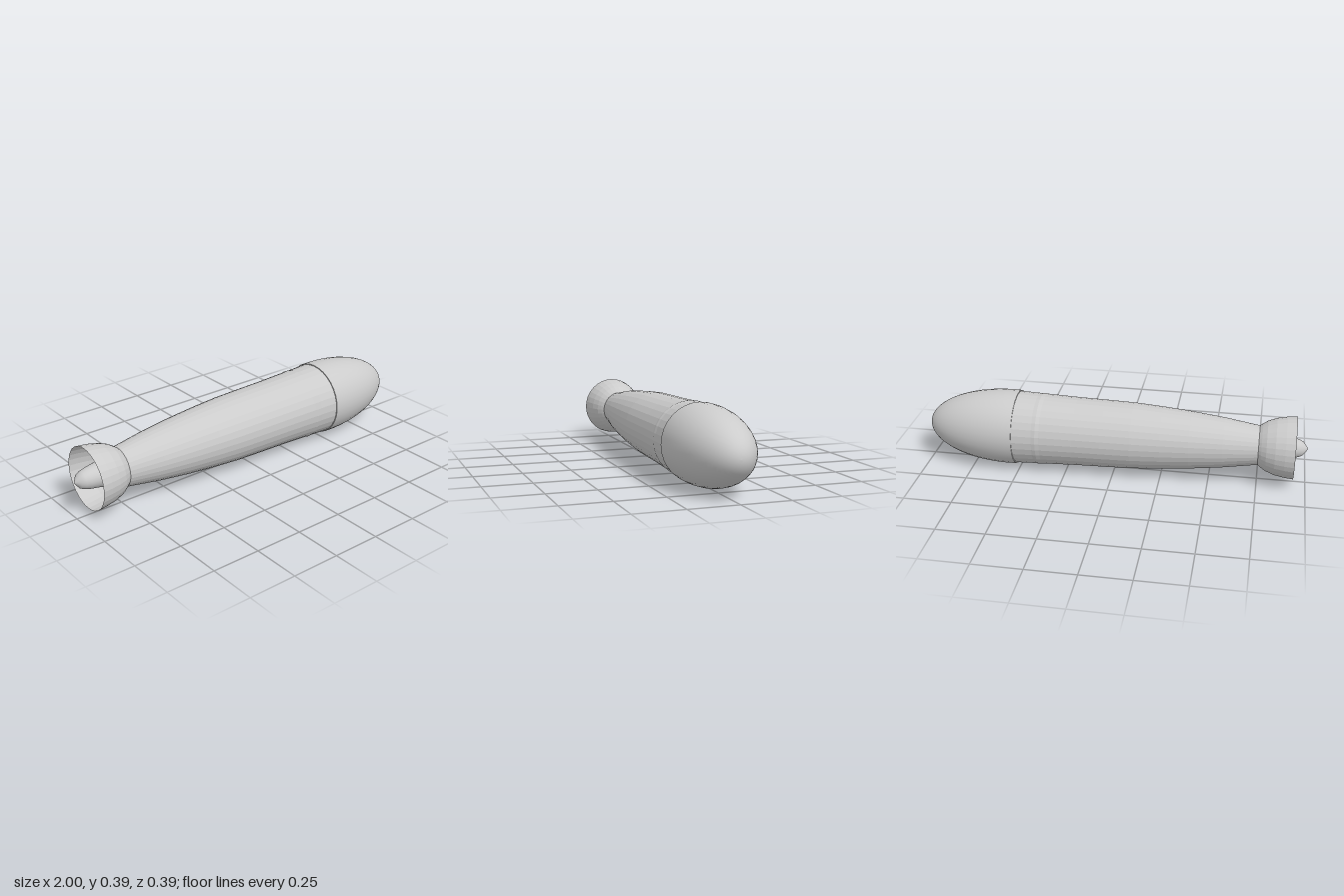
import * as THREE from 'three';

const SIDES = 32;
const AXIS_Y = 0.197;

// Turns a profile of [x, radius] pairs, listed from tail to nose, around the long axis
function turned(name, profile, { flat = false, open = false } = {}) {
  const points = profile.map(([x, r]) => new THREE.Vector2(r, x));
  const geometry = new THREE.LatheGeometry(points, SIDES);
  geometry.rotateZ(-Math.PI / 2);
  const material = new THREE.MeshStandardMaterial({
    color: 0xcccccc,
    flatShading: flat,
    side: open ? THREE.DoubleSide : THREE.FrontSide,
  });
  const mesh = new THREE.Mesh(geometry, material);
  mesh.name = name;
  mesh.position.y = AXIS_Y;
  return mesh;
}

export function createModel() {
  const model = new THREE.Group();
  model.name = 'rocket';

  // Nose: half ellipsoid that keeps its curve a little behind its widest point
  const centre = 0.56, length = 0.44, radius = 0.197, back = 0.515;
  const start = Math.acos((back - centre) / length);
  const nose = [];
  for (let i = 0; i <= 24; i++) {
    const a = start * (1 - i / 24);
    nose.push([centre + length * Math.cos(a), radius * Math.sin(a)]);
  }
  model.add(turned('noseCone', nose));

  // Narrow step behind the nose
  model.add(turned('noseLip', [[back, 0.18], [back, radius * Math.sin(start)]], { flat: true, open: true }));

  // Tapering body
  model.add(turned('body', [
    [-0.75, 0], [-0.75, 0.102], [-0.57, 0.13], [-0.4, 0.15], [-0.25, 0.163],
    [-0.1, 0.173], [0.05, 0.177], [0.2, 0.18], [0.37, 0.186], [0.39, 0.189],
    [0.41, 0.187], [0.515, 0.191],
  ], { flat: true }));

  // Open exhaust bell
  model.add(turned('exhaustBell', [
    [-0.935, 0.162], [-0.885, 0.157], [-0.835, 0.147], [-0.79, 0.13],
    [-0.765, 0.114], [-0.75, 0.102],
  ], { flat: true, open: true }));

  // Pointed plug inside the bell
  model.add(turned('exhaustPlug', [
    [-1, 0], [-0.995, 0.008], [-0.975, 0.035], [-0.955, 0.045], [-0.93, 0.052],
    [-0.85, 0.065], [-0.75, 0.075],
  ]));

  return model;
}
